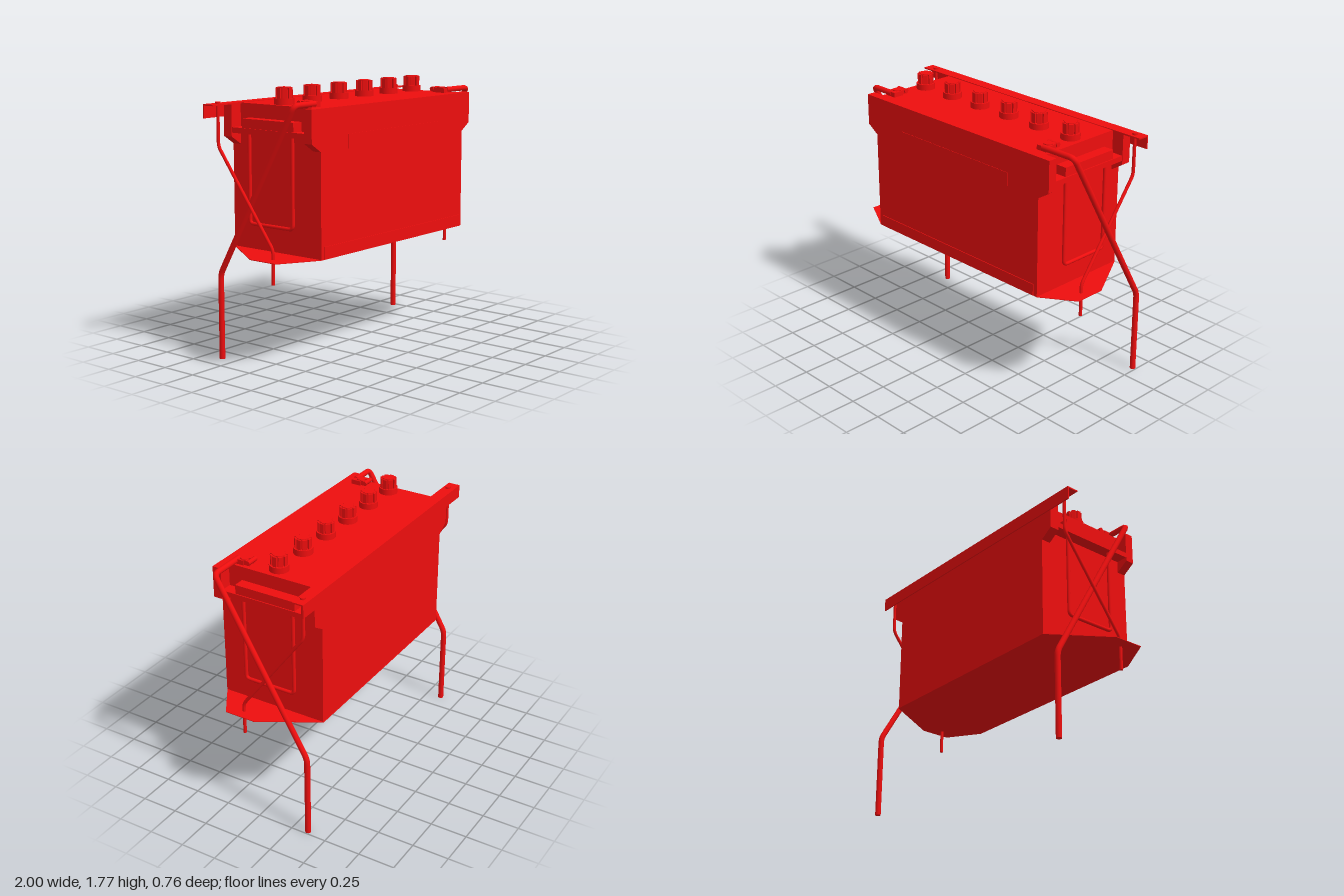
import * as THREE from 'three';

const red = new THREE.MeshStandardMaterial({ color: 0xee0e0e });
const redFlat = new THREE.MeshStandardMaterial({ color: 0xee0e0e, flatShading: true });
const redThin = new THREE.MeshStandardMaterial({ color: 0xee0e0e, side: THREE.DoubleSide });

const CX = 0.02; // centre of the case in x
const HALF = 0.76; // half length of the case

function add(parent, name, geometry, material = red) {
  const mesh = new THREE.Mesh(geometry, material);
  mesh.name = name;
  parent.add(mesh);
  return mesh;
}

// Box given by its two extreme corners
function block(parent, name, [x0, y0, z0], [x1, y1, z1]) {
  const mesh = add(parent, name, new THREE.BoxGeometry(Math.abs(x1 - x0), y1 - y0, z1 - z0));
  mesh.position.set((x0 + x1) / 2, (y0 + y1) / 2, (z0 + z1) / 2);
  return mesh;
}

function cylinder(parent, name, r, h, x, y, z, sides = 16) {
  const mesh = add(parent, name, new THREE.CylinderGeometry(r, r, h, sides));
  mesh.position.set(x, y, z);
  return mesh;
}

// Bent rod: straight runs joined by short rounded bends, with closed ends
function rod(parent, name, points, radius, bend) {
  const p = points.map((a) => new THREE.Vector3(...a));
  const path = new THREE.CurvePath();
  let from = p[0];
  for (let i = 1; i < p.length - 1; i++) {
    const a = p[i].clone().add(p[i - 1].clone().sub(p[i]).setLength(bend));
    const b = p[i].clone().add(p[i + 1].clone().sub(p[i]).setLength(bend));
    path.add(new THREE.LineCurve3(from, a));
    path.add(new THREE.QuadraticBezierCurve3(a, p[i], b));
    from = b;
  }
  path.add(new THREE.LineCurve3(from, p[p.length - 1]));
  const group = new THREE.Group();
  group.name = name;
  add(group, name + 'Tube', new THREE.TubeGeometry(path, 120, radius, 12));
  for (const [end, next] of [[p[0], p[1]], [p[p.length - 1], p[p.length - 2]]]) {
    const disc = add(group, name + 'End', new THREE.CircleGeometry(radius, 12));
    disc.position.copy(end);
    disc.lookAt(end.clone().multiplyScalar(2).sub(next));
  }
  parent.add(group);
}

// Ribbed filler cap on a round collar
function fillerCap(x) {
  const cap = new THREE.Group();
  cap.name = 'fillerCap';
  cylinder(cap, 'capCollar', 0.063, 0.045, 0, 0.0225, 0, 24);
  const outline = [];
  for (let i = 0; i < 8; i++) {
    for (const [offset, r] of [[-0.26, 0.055], [0.26, 0.055], [0.3, 0.044], [0.485, 0.044]]) {
      const a = (i * Math.PI) / 4 + offset;
      outline.push(new THREE.Vector2(r * Math.cos(a), r * Math.sin(a)));
    }
  }
  const grip = new THREE.ExtrudeGeometry(new THREE.Shape(outline), { depth: 0.065, bevelEnabled: false });
  add(cap, 'capGrip', grip.rotateX(-Math.PI / 2).translate(0, 0.045, 0), redFlat);
  cylinder(cap, 'capTop', 0.042, 0.004, 0, 0.112, 0, 8);
  cap.position.set(x, 1.66, 0.005);
  return cap;
}

// Sloped block that widens the case at an upper corner
function cornerBlock(parent, s, z0, z1) {
  const shape = new THREE.Shape();
  const x = (d) => CX + s * (HALF + d);
  shape.moveTo(x(-0.02), 1.39);
  shape.lineTo(x(0), 1.4);
  shape.lineTo(x(0.085), 1.455);
  shape.lineTo(x(0.085), 1.665);
  shape.lineTo(x(-0.02), 1.665);
  const geometry = new THREE.ExtrudeGeometry(shape, { depth: z1 - z0, bevelEnabled: false });
  add(parent, 'cornerBlock', geometry.translate(0, 0, z0), redFlat);
}

// Everything at one end of the case: s = 1 is the left end, s = -1 the right
function caseEnd(s) {
  const end = new THREE.Group();
  end.name = s > 0 ? 'leftEnd' : 'rightEnd';
  const wall = CX + s * HALF;

  cornerBlock(end, s, 0.315, 0.376);
  cornerBlock(end, s, -0.357, -0.29);
  block(end, 'handleLedge', [wall - s * 0.01, 1.48, -0.29], [wall + s * 0.082, 1.515, 0.315]);
  block(end, 'handleMount', [wall - s * 0.01, 1.5, -0.21], [wall + s * 0.075, 1.575, 0.22]);

  // Wire carrying handle
  const hx = wall + s * 0.045;
  rod(end, 'carryHandle', [[hx, 1.49, 0.185], [hx, 0.905, 0.185], [hx, 0.905, -0.175], [hx, 1.49, -0.175]], 0.012, 0.03);

  // Thin hold-down rod with its nut above the bar
  const rx = s > 0 ? 0.933 : -0.915;
  rod(end, 'holdDownRod', [[rx, 1.68, -0.32], [rx, 1.4, -0.32], [rx, 0.79, 0.135], [rx, 0.57, 0.135]], 0.011, 0.03);
  cylinder(end, 'rodNut', 0.018, 0.016, rx, 1.673, -0.32, 12);

  // Heavy cable rising from below, crossing the end and turning onto the top
  const cx = s > 0 ? 0.976 : -0.872;
  const tx = s > 0 ? 0.72 : -0.685;
  rod(end, 'cable', [[cx, 0, -0.36], [cx, 0.565, -0.36], [cx, 1.685, 0.28], [tx, 1.685, 0.28]], 0.019, 0.035);

  // Cable clamp
  block(end, 'clampBody', [tx - 0.04, 1.66, 0.22], [tx + 0.04, 1.697, 0.292]);
  cylinder(end, 'clampPost', 0.03, 0.045, tx, 1.68, 0.235);
  for (const dx of [-0.022, 0.022]) {
    block(end, 'clampJaw', [tx + dx - 0.012, 1.668, 0.18], [tx + dx + 0.012, 1.7, 0.235]);
  }
  cylinder(end, 'clampBolt', 0.016, 0.085, tx, 1.688, 0.188, 8).rotation.z = Math.PI / 2;
  return end;
}

export function createModel() {
  const model = new THREE.Group();
  model.name = 'battery';

  // Case with faint relief on the front
  block(model, 'case', [CX - HALF, 0.732, -0.357], [CX + HALF, 1.665, 0.376]);
  block(model, 'frontBand', [CX - 0.5, 1.4, 0.37], [CX + 0.5, 1.49, 0.379]);
  block(model, 'frontSkirt', [CX - 0.73, 0.732, 0.37], [CX + 0.73, 0.81, 0.381]);

  for (let i = 0; i < 6; i++) model.add(fillerCap(-0.655 + i * 0.269));
  for (const s of [-1, 1]) model.add(caseEnd(s));

  // Thin tray under the case with pointed ends
  const corners = [[-0.74, 0.375], [0.78, 0.375], [1, 0.23], [1, 0.02], [0.78, -0.36], [-0.74, -0.36], [-1, 0.02], [-1, 0.23]];
  const tray = new THREE.Shape(corners.map(([x, z]) => new THREE.Vector2(x, -z)));
  const trayGeometry = new THREE.ExtrudeGeometry(tray, { depth: 0.004, bevelEnabled: false });
  add(model, 'tray', trayGeometry.rotateX(-Math.PI / 2).translate(0, 0.728, 0), redThin);

  // Angle bar along the upper back edge
  const bar = new THREE.Group();
  bar.name = 'holdDownBar';
  block(bar, 'barTop', [-1, 1.66, -0.365], [1, 1.669, -0.283]);
  block(bar, 'barBack', [-1, 1.58, -0.365], [1, 1.669, -0.356]);
  model.add(bar);

  return model;
}
